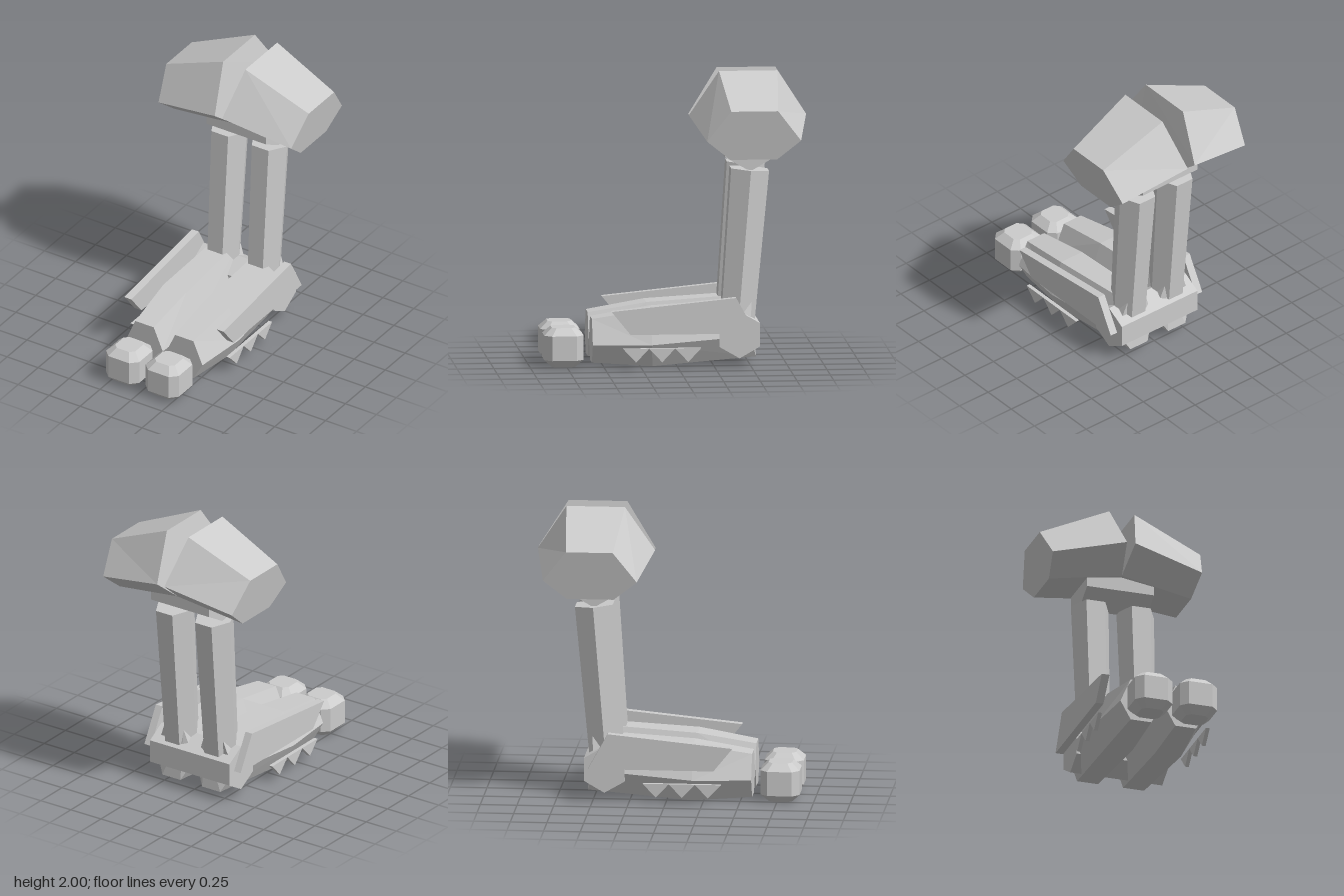
import * as THREE from 'three';

const material = new THREE.MeshStandardMaterial({ color: 0xcccccc, flatShading: true });

function add(parent, name, geometry) {
  const mesh = new THREE.Mesh(geometry, material);
  mesh.name = name;
  parent.add(mesh);
  return mesh;
}

// Closed solid through rings of [x, y, z] points, faces turned outward
function loft(rings) {
  const V = (p) => new THREE.Vector3(...p);
  const n = rings[0].length, tris = [];
  for (let r = 0; r < rings.length - 1; r++) {
    for (let i = 0; i < n; i++) {
      const j = (i + 1) % n, a = rings[r], b = rings[r + 1];
      tris.push([a[i], a[j], b[j]], [a[i], b[j], b[i]]);
    }
  }
  const first = rings[0], last = rings[rings.length - 1];
  for (let i = 1; i < n - 1; i++) {
    tris.push([first[0], first[i + 1], first[i]], [last[0], last[i], last[i + 1]]);
  }
  let volume = 0;
  for (const [a, b, c] of tris) volume += V(a).dot(V(b).cross(V(c)));
  if (volume < 0) tris.forEach((t) => t.reverse());
  const geometry = new THREE.BufferGeometry();
  geometry.setAttribute('position', new THREE.Float32BufferAttribute(tris.flat(2), 3));
  geometry.computeVertexNormals();
  return geometry;
}

// Flat plate from a side outline of [z, y] points, spanning x0..x1
function plate(outline, x0, x1) {
  const shape = new THREE.Shape(outline.map(([z, y]) => new THREE.Vector2(z, y)));
  const geometry = new THREE.ExtrudeGeometry(shape, { depth: x1 - x0, bevelEnabled: false });
  return geometry.rotateY(-Math.PI / 2).translate(x1, 0, 0);
}

// Six-sided bar lying along x
function hexBar(radius, length, y, z) {
  const geometry = new THREE.CylinderGeometry(radius, radius, length, 6);
  geometry.rotateZ(Math.PI / 2);
  // turn so that a corner points straight up
  geometry.computeBoundingBox();
  if (geometry.boundingBox.max.y < radius * 0.95) geometry.rotateX(Math.PI / 6);
  return geometry.translate(0, y, z);
}

// Half of the top: hexagon levels as [x, y, half depth]
function topBlock(s) {
  const ring = (levels) => {
    const side = (k) => levels.map(([x, y, h]) => [s * x, y, -0.5 + k * h]);
    return [...side(1), ...side(-1).reverse()];
  };
  return loft([
    ring([[0.09, 2, 0.2], [0.03, 1.69, 0.4], [0, 1.53, 0.2]]),
    ring([[0.575, 1.79, 0.16], [0.535, 1.58, 0.32], [0.51, 1.45, 0.16]]),
  ]);
}

// Foot hull: sections of centre x, half widths, and [y, z] of top, middle and bottom
function foot(s) {
  const ring = (cx, wide, flat, top, mid, low) => [
    [-flat, top], [flat, top], [wide, mid], [flat, low], [-flat, low], [-wide, mid],
  ].map(([x, [y, z]]) => [s * (cx + x), y, z]);
  return loft([
    ring(0.16, 0.147, 0.074, [0.33, 0.58], [0.16, 0.58], [0.03, 0.58]),
    ring(0.172, 0.175, 0.092, [0.395, 0.18], [0.16, 0.18], [0.005, 0.17]),
    ring(0.165, 0.155, 0.075, [0.44, -0.51], [0.21, -0.49], [0.06, -0.54]),
  ]);
}

// Chamfered eight-sided toe
function toe(s) {
  const h = 0.134, f = 0.084;
  const octagon = [[f, h], [h, f], [h, -f], [f, -h], [-f, -h], [-h, -f], [-h, f], [-f, h]];
  const levels = [[0, 0.6], [0.052, 1], [0.22, 1], [0.27, 0.6]];
  return loft(levels.map(([y, k]) =>
    octagon.map(([x, z]) => [s * 0.16 + x * k, y, 0.771 + z * k])));
}

export function createModel() {
  const model = new THREE.Group();
  model.name = 'model';

  // Cross bars joining the legs
  add(model, 'upperCrossBar', hexBar(0.2, 0.48, 1.53, -0.5));
  add(model, 'heelCrossBar', hexBar(0.16, 0.66, 0.22, -0.42));

  for (const [s, label] of [[1, 'left'], [-1, 'right']]) {
    const side = new THREE.Group();
    side.name = label + 'Side';
    model.add(side);

    add(side, 'topBlock', topBlock(s));

    // Leaning hexagonal leg
    const leg = add(side, 'leg', new THREE.CylinderGeometry(0.135, 0.118, 1.1, 6, 1, false, Math.PI / 2));
    leg.scale.z = 1.11;
    leg.rotation.x = -0.08;
    leg.position.set(s * 0.163, 0.792, -0.456);

    add(side, 'foot', foot(s));
    add(side, 'toe', toe(s));

    // Side fin and the row of teeth below it
    const span = (a, b) => (s > 0 ? [a, b] : [-b, -a]);
    add(side, 'sideFin', plate(
      [[0.46, 0.4], [-0.39, 0.485], [-0.525, 0.24], [0.33, 0.24]], ...span(0.345, 0.4)));
    for (let i = 0; i < 3; i++) {
      const z = 0.293 - i * 0.178;
      add(side, 'tooth', plate(
        [[z + 0.089, 0.145], [z - 0.089, 0.145], [z, 0.05]], ...span(0.373, 0.4)));
    }
  }
  return model;
}
